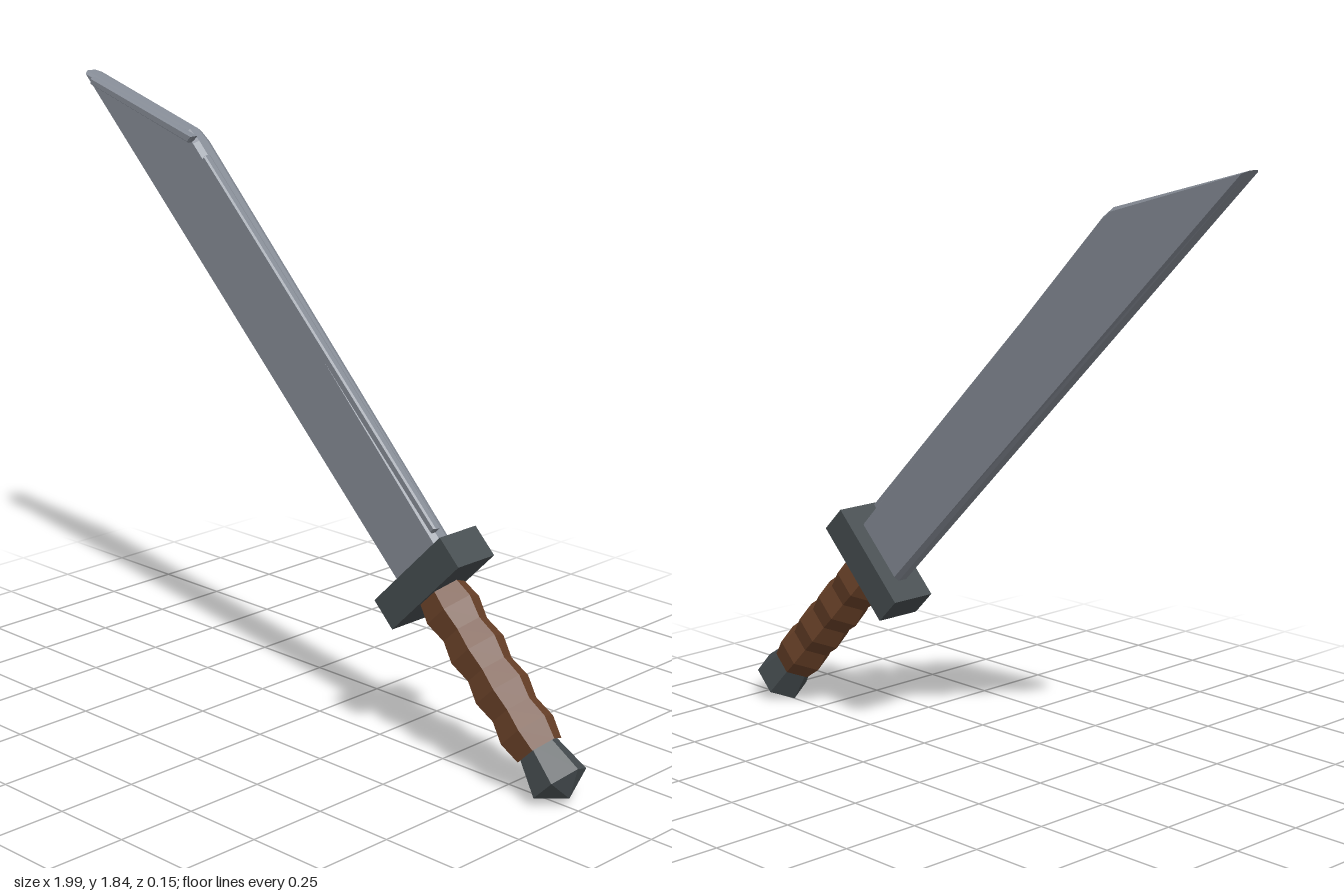
import * as THREE from 'three';

const steel = new THREE.MeshStandardMaterial({ color: 0x858b95 });
steel.name = 'blade steel';
const iron = new THREE.MeshStandardMaterial({ color: 0x464d50 });
iron.name = 'dark iron';
const wood = new THREE.MeshStandardMaterial({ color: 0x6b4229 });
wood.name = 'brown grip';

// Mesh with hard facets
function faceted(name, geometry, material) {
  const geo = geometry.index ? geometry.toNonIndexed() : geometry;
  geo.computeVertexNormals();
  const mesh = new THREE.Mesh(geo, material);
  mesh.name = name;
  return mesh;
}

// Chamfered plate from an outline, filling z0..z1
function plate(name, points, z0, z1, chamfer, chamferDepth) {
  const shape = new THREE.Shape(points.map(([x, y]) => new THREE.Vector2(x, y)));
  const geo = new THREE.ExtrudeGeometry(shape, {
    depth: z1 - z0 - 2 * chamferDepth, bevelEnabled: true, bevelSegments: 1,
    bevelSize: chamfer, bevelOffset: -chamfer, bevelThickness: chamferDepth,
  });
  geo.translate(0, 0, z0 + chamferDepth);
  return faceted(name, geo, steel);
}

// Six-sided turned part, profile listed from bottom to top as [radius, y]
function hexTurned(name, profile, material) {
  const points = profile.map(([r, y]) => new THREE.Vector2(r, y));
  return faceted(name, new THREE.LatheGeometry(points, 6, Math.PI / 2), material);
}

export function createModel() {
  const sword = new THREE.Group();
  sword.name = 'sword';

  // Blade with a clipped point
  sword.add(plate('blade',
    [[-1, 1.85], [0.345, 0.51], [0.5, 0.665], [-0.49, 1.69], [-0.53, 1.72]],
    -0.033, 0.033, 0.011, 0.018));

  // Raised strips along the spine and the clipped edge
  sword.add(plate('spineStrip',
    [[-0.455, 1.635], [0.485, 0.7], [0.502, 0.717], [-0.432, 1.656]],
    0.022, 0.05, 0.004, 0.006));
  sword.add(plate('tipStrip',
    [[-0.95, 1.815], [-0.505, 1.685], [-0.485, 1.706], [-0.945, 1.837]],
    0.022, 0.05, 0.004, 0.006));

  // Hilt, built upright and tilted with the blade
  const hilt = new THREE.Group();
  hilt.name = 'hilt';
  hilt.position.set(0.455, 0.55, 0);
  hilt.rotation.z = Math.PI / 4;
  sword.add(hilt);

  hilt.add(faceted('guard', new THREE.BoxGeometry(0.35, 0.1, 0.15), iron));

  // Grip with four swells
  const grip = [];
  for (let i = 0; i <= 8; i++) {
    grip.push([i % 2 ? 0.086 : 0.072, -0.57 + i * 0.066]);
  }
  hilt.add(hexTurned('grip', grip, wood));

  // Pommel flares out to a blunt point
  hilt.add(hexTurned('pommel',
    [[0, -0.725], [0.087, -0.676], [0.058, -0.55], [0, -0.55]], iron));

  return sword;
}
